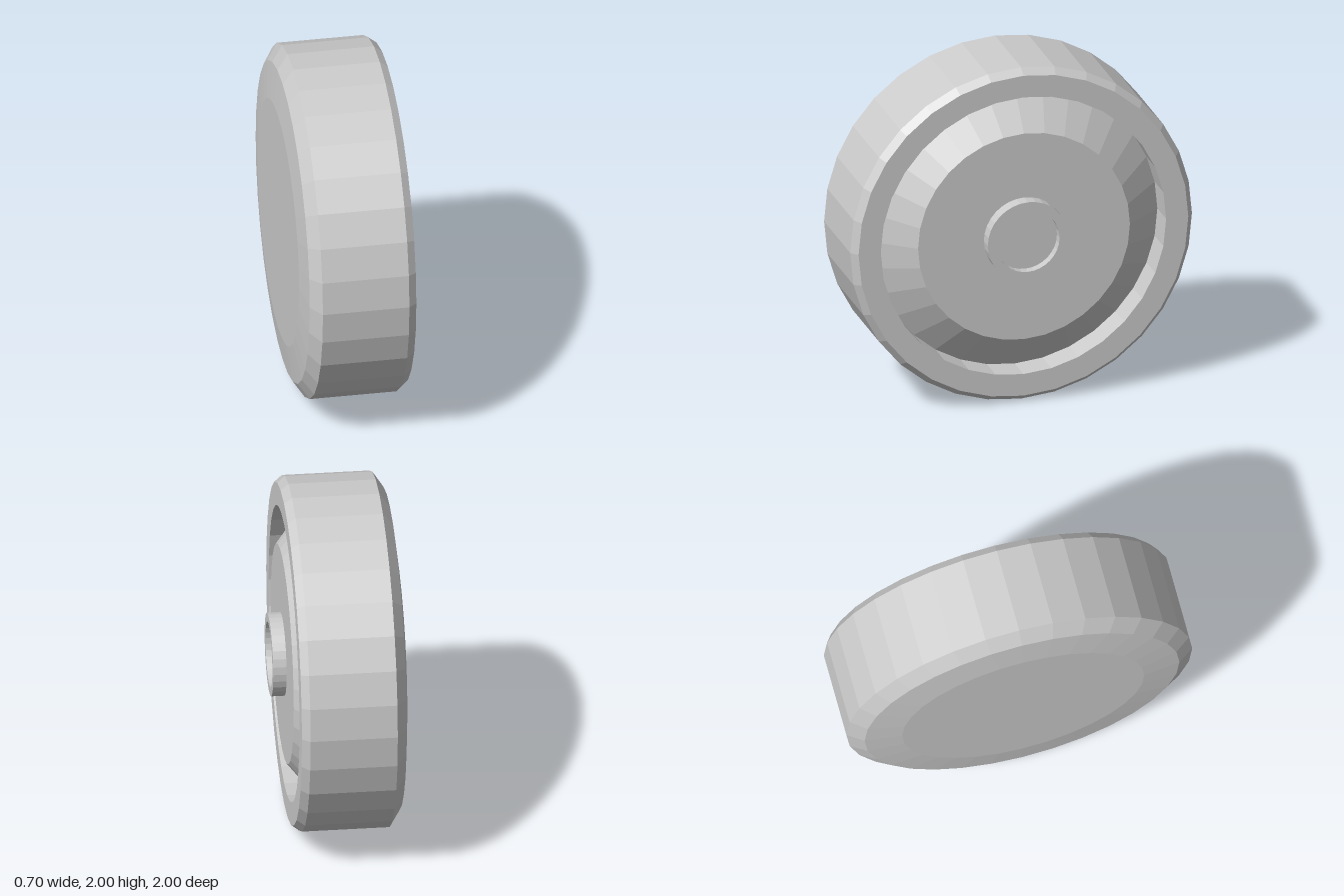
import * as THREE from 'three';

const SEGMENTS = 32;
const material = new THREE.MeshStandardMaterial({ color: 0xcccccc, flatShading: true });

// Turns a profile of [radius, x] pairs around the wheel axis, which lies along x
function turned(name, profile) {
  const points = profile.map(([r, x]) => new THREE.Vector2(r, x));
  const geometry = new THREE.LatheGeometry(points, SEGMENTS);
  geometry.rotateZ(-Math.PI / 2);
  const mesh = new THREE.Mesh(geometry, material);
  mesh.name = name;
  return mesh;
}

export function createModel() {
  const wheel = new THREE.Group();
  wheel.name = 'wheel';

  // Closed back, chamfered tread, outer rim face and the wall of the recess
  wheel.add(turned('tyre', [
    [0, -0.355], [0.70, -0.355], [0.91, -0.33], [1, -0.27], [1, 0.22],
    [0.965, 0.265], [0.835, 0.265], [0.835, 0.10],
  ]));

  // Raised disc with a sloping edge, set inside the recess
  wheel.add(turned('hubDisc', [[0.835, 0.10], [0.62, 0.275], [0, 0.275]]));

  // Cap in the middle with a shallow round hollow
  wheel.add(turned('hubCap', [
    [0.235, 0.275], [0.235, 0.35], [0.185, 0.35], [0.185, 0.30], [0, 0.30],
  ]));

  wheel.position.y = 1;
  const model = new THREE.Group();
  model.add(wheel);
  return model;
}
